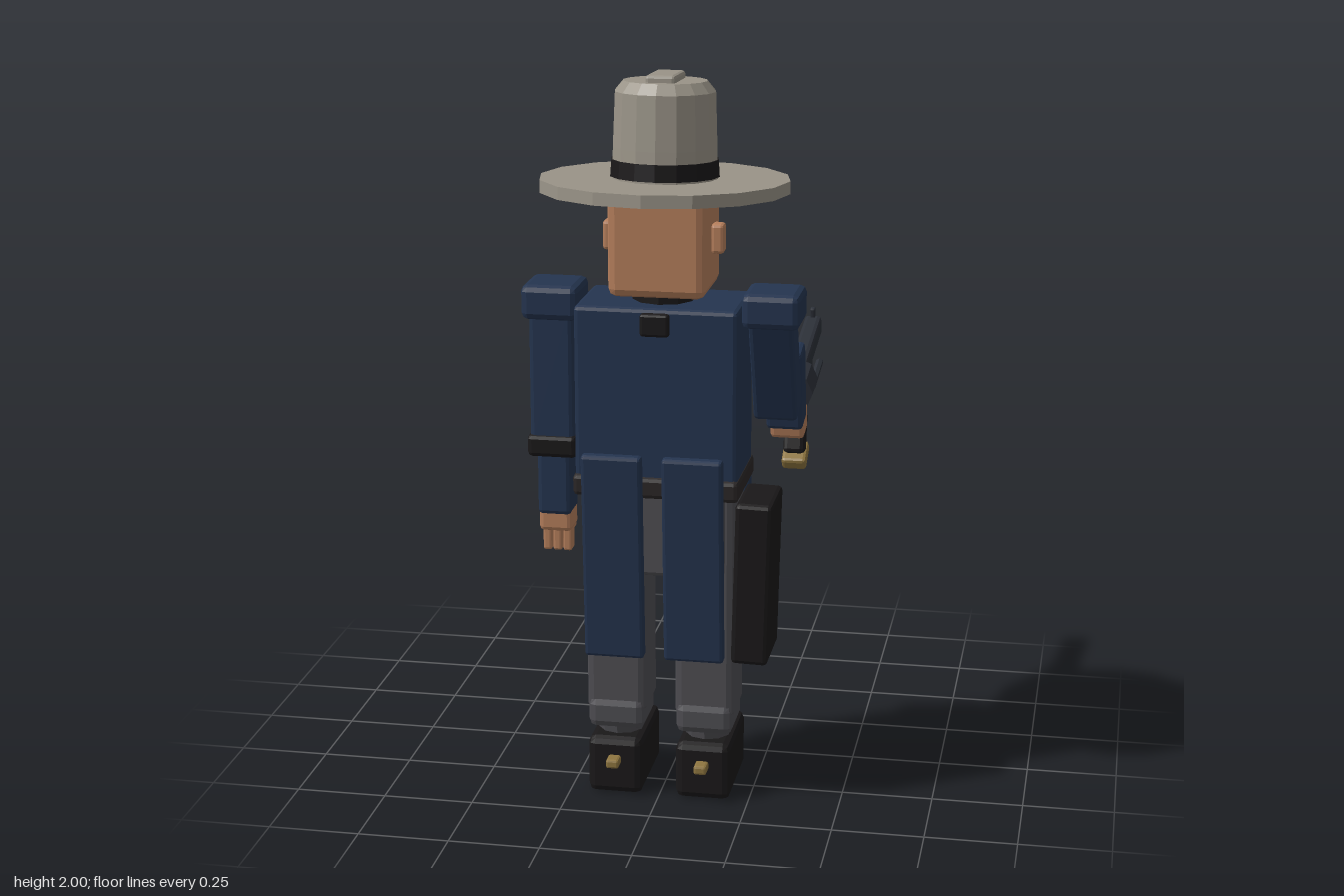
import * as THREE from 'three';
import { RoundedBoxGeometry } from 'three/addons/geometries/RoundedBoxGeometry.js';

const mat = (color) => new THREE.MeshStandardMaterial({ color, flatShading: true });
const M = {
  navy: mat(0x24344f), black: mat(0x1a1819), trousers: mat(0x4f4e53), felt: mat(0x9a9488),
  skin: mat(0xb67f5c), brass: mat(0x8f7640), steel: mat(0x2c3038), vest: mat(0x5c5b59),
  belt: mat(0x2b2727), hair: mat(0x8f9091), white: mat(0xdddddd),
};

function add(parent, name, geometry, material, pos, rot = [0, 0, 0]) {
  const mesh = new THREE.Mesh(geometry, material);
  mesh.name = name;
  mesh.position.set(...pos);
  mesh.rotation.set(...rot);
  parent.add(mesh);
  return mesh;
}

// Chamfered box
function box(parent, name, size, pos, material, rot, bevel = 0.012) {
  const r = Math.min(bevel, Math.min(...size) * 0.25);
  return add(parent, name, new RoundedBoxGeometry(...size, 1, r), material, pos, rot);
}

function cyl(parent, name, rTop, rBottom, h, sides, pos, material, rot) {
  return add(parent, name, new THREE.CylinderGeometry(rTop, rBottom, h, sides), material, pos, rot);
}

function group(parent, name, pos = [0, 0, 0], rot = [0, 0, 0]) {
  const g = new THREE.Group();
  g.name = name;
  g.position.set(...pos);
  g.rotation.set(...rot);
  parent.add(g);
  return g;
}

function buildHat(root) {
  const hat = group(root, 'hat', [0, 1.707, 0.255], [-0.045, 0, 0]);
  cyl(hat, 'brim', 0.335, 0.335, 0.034, 16, [0, 0, 0], M.felt);
  const crown = [[0.142, 0], [0.14, 0.1], [0.135, 0.245], [0.112, 0.273], [0, 0.273]];
  add(hat, 'crown', new THREE.LatheGeometry(crown.map((p) => new THREE.Vector2(...p)), 16), M.felt, [0, 0, 0]);
  cyl(hat, 'hatBand', 0.144, 0.147, 0.045, 16, [0, 0.045, 0], M.black);
  box(hat, 'crownRidge', [0.08, 0.035, 0.16], [0, 0.275, 0], M.felt);
}

function buildHead(root) {
  const head = group(root, 'head');
  box(head, 'skull', [0.26, 0.285, 0.255], [0, 1.567, 0.267], M.skin, undefined, 0.022);
  box(head, 'nose', [0.045, 0.075, 0.04], [0, 1.56, 0.122], M.skin);
  box(head, 'moustache', [0.15, 0.03, 0.03], [0, 1.517, 0.125], M.hair);
  box(head, 'mouth', [0.07, 0.012, 0.01], [0, 1.478, 0.137], M.black);
  for (const s of [-1, 1]) {
    box(head, 'ear', [0.035, 0.08, 0.047], [s * 0.146, 1.568, 0.263], M.skin);
    box(head, 'eye', [0.05, 0.036, 0.012], [s * 0.06, 1.602, 0.136], M.white);
    box(head, 'pupil', [0.02, 0.024, 0.01], [s * 0.058, 1.602, 0.13], M.black);
    box(head, 'eyebrow', [0.075, 0.02, 0.025], [s * 0.062, 1.64, 0.13], M.hair, [0, 0, s * 0.08]);
    box(head, 'moustacheEnd', [0.028, 0.055, 0.028], [s * 0.08, 1.502, 0.126], M.hair, [0, 0, s * 0.15]);
    box(head, 'sideburn', [0.022, 0.12, 0.02], [s * 0.114, 1.59, 0.138], M.hair);
  }
}

function buildTorso(root) {
  const torso = group(root, 'torso');
  cyl(torso, 'neck', 0.085, 0.085, 0.08, 10, [0, 1.395, 0.265], M.black);
  box(torso, 'coatBody', [0.44, 0.5, 0.262], [0, 1.15, 0.269], M.navy);
  box(torso, 'neckerchiefKnot', [0.078, 0.062, 0.03], [0, 1.358, 0.402], M.black);
  box(torso, 'neckerchief', [0.12, 0.09, 0.04], [0, 1.37, 0.14], M.black);
  box(torso, 'neckerchiefTip', [0.07, 0.07, 0.03], [0, 1.32, 0.136], M.black, [0, 0, Math.PI / 4]);
  for (const s of [-1, 1]) {
    box(torso, 'vestPanel', [0.165, 0.42, 0.03], [s * 0.122, 1.145, 0.13], M.vest);
    box(torso, 'frontSkirt', [0.1, 0.29, 0.05], [s * 0.172, 0.745, 0.165], M.navy);
    box(torso, 'coatTail', [0.163, 0.58, 0.036], [s * 0.109, 0.72, 0.434], M.navy, [0.06, 0, 0]);
    for (let i = 0; i < 5; i++) {
      cyl(torso, 'button', 0.009, 0.009, 0.02, 8, [s * 0.026, 0.99 + i * 0.07, 0.134], M.brass, [Math.PI / 2, 0, 0]);
    }
  }

  // Five-pointed badge
  const star = new THREE.Shape();
  for (let i = 0; i < 10; i++) {
    const r = i % 2 ? 0.016 : 0.038, a = Math.PI / 2 + i * Math.PI / 5;
    star[i ? 'lineTo' : 'moveTo'](r * Math.cos(a), r * Math.sin(a));
  }
  add(torso, 'starBadge', new THREE.ExtrudeGeometry(star, { depth: 0.012, bevelEnabled: false }),
    M.brass, [-0.12, 1.245, 0.106]);

  // Cartridge belt
  box(torso, 'belt', [0.45, 0.06, 0.285], [0, 0.908, 0.268], M.belt);
  box(torso, 'buckle', [0.075, 0.045, 0.03], [0, 0.908, 0.112], M.brass);
  for (let i = 0; i < 10; i++) {
    const x = (i < 5 ? -0.19 : 0.062) + (i % 5) * 0.032;
    cyl(torso, 'cartridge', 0.009, 0.009, 0.055, 6, [x, 0.915, 0.118], M.brass);
  }
  box(torso, 'hips', [0.36, 0.25, 0.22], [0, 0.775, 0.27], M.trousers);
  box(torso, 'holster', [0.1, 0.455, 0.205], [0.262, 0.65, 0.308], M.black, [0, 0, -0.025]);
}

function buildLeg(root, s) {
  const leg = group(root, s > 0 ? 'leftLeg' : 'rightLeg', [s * 0.123, 0, 0]);
  box(leg, 'trouserLeg', [0.165, 0.66, 0.175], [0, 0.56, 0.258], M.trousers, undefined, 0.02);
  box(leg, 'trouserCuff', [0.158, 0.09, 0.17], [0, 0.23, 0.268], M.trousers, undefined, 0.022);
  cyl(leg, 'ankle', 0.07, 0.06, 0.05, 10, [0, 0.175, 0.268], M.trousers);
  box(leg, 'boot', [0.152, 0.165, 0.28], [0, 0.0825, 0.23], M.black, undefined, 0.02);
  box(leg, 'spur', [0.036, 0.026, 0.05], [0, 0.103, 0.385], M.brass);
}

function buildRestingArm(root) {
  const arm = group(root, 'rightArm', [-0.3, 0, 0.262]);
  box(arm, 'shoulder', [0.155, 0.095, 0.165], [0, 1.388, 0], M.navy, undefined, 0.018);
  box(arm, 'upperArm', [0.12, 0.37, 0.125], [0, 1.185, 0], M.navy);
  box(arm, 'armBand', [0.135, 0.062, 0.14], [0, 0.987, 0], M.black);
  box(arm, 'forearm', [0.092, 0.19, 0.1], [0, 0.88, -0.005], M.navy);
  box(arm, 'palm', [0.09, 0.07, 0.09], [0, 0.77, -0.008], M.skin);
  for (let i = -1; i <= 1; i++) box(arm, 'finger', [0.024, 0.075, 0.045], [i * 0.028, 0.71, -0.01], M.skin);
  box(arm, 'thumb', [0.024, 0.06, 0.03], [0.025, 0.75, -0.058], M.skin);
}

function buildRaisedArm(root) {
  const arm = group(root, 'leftArm');
  box(arm, 'shoulder', [0.155, 0.095, 0.165], [0.297, 1.388, 0.264], M.navy, undefined, 0.018);
  box(arm, 'upperArm', [0.12, 0.32, 0.1], [0.296, 1.225, 0.23], M.navy, [0.37, 0, 0]);
  box(arm, 'forearm', [0.102, 0.235, 0.095], [0.294, 1.102, 0.005], M.navy, [0.2, 0, 0]);
  box(arm, 'hand', [0.096, 0.085, 0.085], [0.294, 0.985, -0.063], M.skin, [0.2, 0, 0]);
}

function buildRevolver(root) {
  const gun = group(root, 'revolver', [0.294, 1.045, -0.115], [0.17, 0, 0]);
  const along = [Math.PI / 2, 0, 0];
  box(gun, 'barrel', [0.05, 0.062, 0.25], [0, 0.006, -0.357], M.steel);
  box(gun, 'frame', [0.054, 0.085, 0.26], [0, 0, -0.13], M.steel);
  cyl(gun, 'cylinder', 0.06, 0.06, 0.11, 8, [0, 0, -0.06], M.steel, along);
  cyl(gun, 'ejectorRod', 0.011, 0.011, 0.18, 6, [0.045, -0.02, -0.18], M.steel, along);
  box(gun, 'frontSight', [0.014, 0.035, 0.022], [0, 0.047, -0.468], M.steel);
  box(gun, 'hammer', [0.02, 0.05, 0.025], [0, 0.045, 0.005], M.steel, [-0.4, 0, 0]);
  // Trigger and its guard
  box(gun, 'guardBottom', [0.022, 0.016, 0.15], [0, -0.11, -0.115], M.steel);
  for (const z of [-0.185, -0.095, -0.045]) box(gun, 'guardPost', [0.022, 0.085, 0.015], [0, -0.07, z], M.steel);
  // Grip with brass butt
  box(gun, 'grip', [0.06, 0.12, 0.06], [0.01, -0.12, 0.0], M.black, [-0.45, 0, 0]);
  box(gun, 'butt', [0.07, 0.038, 0.085], [0.01, -0.188, 0.008], M.brass, [0.35, 0, 0]);
}

export function createModel() {
  const root = new THREE.Group();
  root.name = 'lawman';
  buildHat(root);
  buildHead(root);
  buildTorso(root);
  for (const s of [-1, 1]) buildLeg(root, s);
  buildRestingArm(root);
  buildRaisedArm(root);
  buildRevolver(root);
  return root;
}
